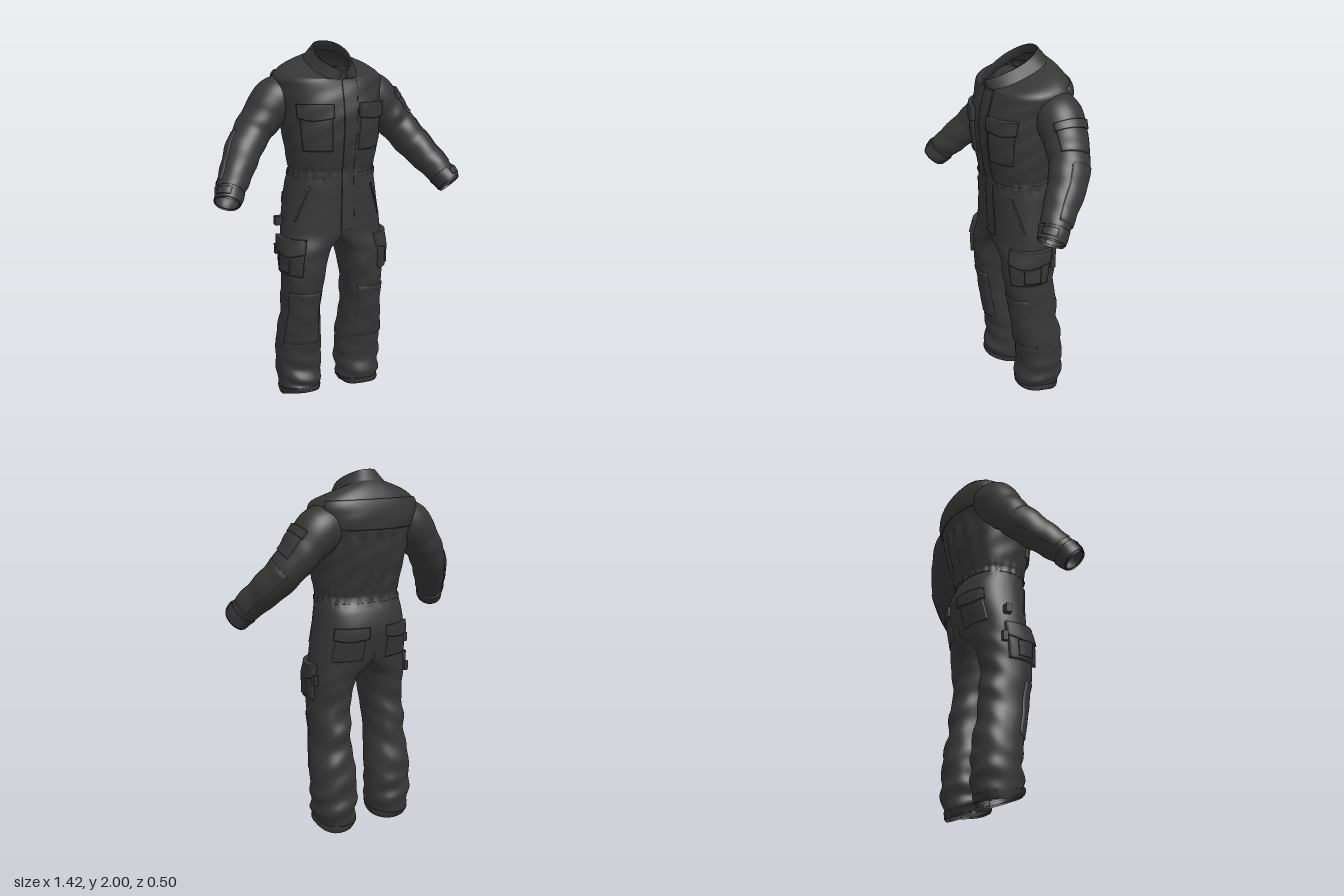
import * as THREE from 'three';

const { cos, sin, abs, sign, exp, PI, min, max } = Math;
const { smoothstep, clamp, degToRad } = THREE.MathUtils;
const V = (x, y, z) => new THREE.Vector3(x, y, z);
const pw = (c, e = 0.85) => sign(c) * abs(c) ** e;
const bell = (x, c, w) => exp(-(((x - c) / w) ** 2));

// Smooth interpolation of rows [parameter, value, value, ...]
function track(rows) {
  const n = rows[0].length - 1;
  const it = new THREE.CubicInterpolant(
    rows.map(r => r[0]), rows.flatMap(r => r.slice(1)), n, new Float32Array(n));
  const lo = rows[0][0], hi = rows[rows.length - 1][0];
  return v => [...it.evaluate(clamp(v, lo, hi))];
}

// Upper body rings: y, half width, front z, back z, z of widest point, forward tilt
const torsoRow = track([
  [0.85, 0.290, 0.165, -0.14, 0.01, 0], [1.0, 0.285, 0.172, -0.18, 0, 0],
  [1.15, 0.264, 0.175, -0.212, -0.01, 0], [1.25, 0.25, 0.178, -0.195, -0.01, 0],
  [1.32, 0.238, 0.178, -0.165, 0, 0], [1.42, 0.25, 0.195, -0.19, 0, 0],
  [1.55, 0.266, 0.212, -0.225, -0.02, 0], [1.68, 0.28, 0.21, -0.242, -0.05, 0],
  [1.77, 0.296, 0.188, -0.25, -0.07, 0.02], [1.83, 0.288, 0.176, -0.232, -0.07, 0.1],
  [1.865, 0.22, 0.176, -0.195, -0.05, 0.25], [1.89, 0.105, 0.18, -0.15, -0.03, 0.42]]);

function torso(a, y) {
  const [rx, zf, zb, zc, tilt] = torsoRow(y);
  const c = cos(a), s = sin(a), back = max(0, -s);
  const body = smoothstep(y, 1.15, 1.4) * (1 - smoothstep(y, 1.72, 1.85));
  const k = 1 + 0.018 * cos(26 * a) * bell(y, 1.325, 0.035) - 0.02 * bell(y, 1.335, 0.012)
    + body * 0.012 * sin(5 * a + 22 * y) * sin(31 * y + 2 * a);
  const x = rx * pw(c) * k;
  let z = zc + (s > 0 ? zf - zc : zc - zb) * pw(s) * k;
  // Back pleats hang below the yoke
  z += back * back * smoothstep(y, 1.34, 1.45) * (1 - smoothstep(y, 1.64, 1.7))
    * (0.009 * sin(x * 62 + 1.5 * sin(9 * y)) + 0.006);
  return V(x, y - tilt * z, z);
}

// Trouser leg rings: y, inner x, outer x, front z, back z
const legRow = track([
  [0, 0.075, 0.285, 0.092, -0.145], [0.1, 0.06, 0.302, 0.1, -0.172],
  [0.2, 0.055, 0.308, 0.085, -0.172], [0.35, 0.058, 0.308, 0.1, -0.166],
  [0.5, 0.075, 0.29, 0.124, -0.138], [0.6, 0.073, 0.287, 0.14, -0.138],
  [0.7, 0.063, 0.288, 0.158, -0.118], [0.85, 0.035, 0.288, 0.17, -0.135],
  [0.97, 0.012, 0.287, 0.174, -0.165]]);

// Each leg is a ring that grows into one half of the pelvis
const leg = side => (a, y) => {
  const [xi, xo, zf, zb] = legRow(y);
  const t = Math.atan2(sin(a), cos(a)), c = cos(t), s = sin(t), ph = side * 1.3;
  const low = 1 - smoothstep(y, 0.15, 0.4);
  const k = 1 + 0.02 * sin(38 * y + 2 * s + ph) * sin(3 * t + 9 * y + ph)
    + low * 0.045 * sin(58 * y + 1.6 * sin(t + ph)) * (0.6 + 0.4 * sin(2 * t + ph))
    + 0.03 * max(0, -s) * sin(44 * y + 2.5 * c + ph) * (1 - smoothstep(y, 0.65, 0.9));
  const p = V((xi + xo) / 2 + (xo - xi) / 2 * pw(c, 0.9) * k, y,
    (zf + zb) / 2 + (zf - zb) / 2 * pw(s, 0.9) * k);
  p.y += (0.22 * (p.z + 0.14) + 0.012 * sin(2 * t + ph) * (1 - abs(s))) * (1 - smoothstep(y, 0, 0.14));
  const w = smoothstep(y, 0.86, 1.0);
  if (w > 0) {
    const h = 2 * PI / 3, u = (a % (2 * PI) + 2 * PI) % (2 * PI);
    const q = abs(t) <= h + 1e-6 ? torso(t * 0.75, y)
      : torso(PI / 2, y).lerp(torso(-PI / 2, y), (u - h) / h);
    p.lerp(q, w);
  }
  p.x = max(p.x, 0) * side;
  return p;
};

// Sleeve: centre line with two radii (up-out and front-back)
const armLine = new THREE.CatmullRomCurve3([V(0.2, 1.745, -0.085), V(0.285, 1.695, -0.085),
  V(0.36, 1.615, -0.075), V(0.43, 1.53, -0.055), V(0.5, 1.435, 0), V(0.56, 1.35, 0.075),
  V(0.61, 1.28, 0.135), V(0.648, 1.213, 0.186)]);
const armRow = track([[0, 0.1, 0.11], [0.14, 0.125, 0.125], [0.29, 0.11, 0.117], [0.43, 0.1, 0.108],
  [0.57, 0.094, 0.1], [0.72, 0.084, 0.088], [0.86, 0.076, 0.078], [1, 0.064, 0.068]]);
const arm = side => (a, v) => {
  const c = armLine.getPoint(v), t = armLine.getTangent(v);
  const up = V(0, 0, 1).cross(t).normalize(), fr = t.clone().cross(up);
  const [ra, rb] = armRow(v), ph = side * 1.7;
  const k = 1 + smoothstep(v, 0.15, 0.35) * (0.025 * sin(40 * v + 2 * sin(a + ph))
    + 0.02 * sin(3 * a + 17 * v + ph) * sin(26 * v));
  c.addScaledVector(up, ra * cos(a) * k).addScaledVector(fr, rb * sin(a) * k);
  c.x *= side;
  return c;
};

export function createModel() {
  const group = new THREE.Group();
  const cloth = new THREE.MeshStandardMaterial({ color: 0x363636, side: THREE.DoubleSide });
  cloth.name = 'charcoal cloth';

  // Mesh over a grid of points; closed grids wrap around in i
  function sheet(name, nu, nv, fn, closed, skip = () => false) {
    const cols = closed ? nu : nu + 1, pos = [], idx = [];
    for (let j = 0; j <= nv; j++) for (let i = 0; i < cols; i++) pos.push(...fn(i, j).toArray());
    for (let j = 0; j < nv; j++) for (let i = 0; i < nu; i++) {
      if (skip(i, j)) continue;
      const i2 = (i + 1) % cols, a = j * cols + i, b = j * cols + i2;
      idx.push(a, a + cols, b, b, a + cols, b + cols);
    }
    const g = new THREE.BufferGeometry();
    g.setAttribute('position', new THREE.Float32BufferAttribute(pos, 3));
    g.setIndex(idx);
    g.computeVertexNormals();
    const m = new THREE.Mesh(g, cloth);
    m.name = name;
    group.add(m);
  }

  // Raised panel following a surface, angles in degrees; dip lowers the middle of its lower edge
  function patch(name, surf, a0, a1, v0, v1, h, dip = 0, n = 16) {
    const off = (a, v, d) => {
      const p = surf(a, v), e = 0.01;
      const nrm = surf(a + e, v).sub(surf(a - e, v)).cross(surf(a, v + e).sub(surf(a, v - e))).normalize();
      if (nrm.dot(p.clone().sub(surf(a + PI, v))) < 0) nrm.negate();
      return p.addScaledVector(nrm, d);
    };
    sheet(name, n, n, (i, j) => {
      const fu = clamp((i - 1) / (n - 2), 0, 1), fv = clamp((j - 1) / (n - 2), 0, 1);
      const edge = i === 0 || j === 0 || i === n || j === n;
      const v = v0 + (v1 - v0) * fv - dip * sin(PI * fu) * (1 - fv);
      return off(degToRad(a0 + (a1 - a0) * fu), v, edge ? -0.004 : h);
    });
  }

  // Upper body
  sheet('jacketBody', 96, 64, (i, j) => torso(i / 96 * 2 * PI, 1.3 + 0.59 * j / 64), true);
  patch('backYoke', torso, 200, 340, 1.7, 1.83, 0.008, 0, 28);
  patch('frontPlacket', torso, 79, 91, 1.0, 1.87, 0.006, 0, 40);
  patch('waistSeam', torso, -90, 270, 1.3, 1.322, 0.004, 0, 96);

  // Standing collar, open at the front: outer base, outer top, inner top, inner base
  sheet('collar', 60, 6, (i, j) => {
    const a = degToRad(97 + 346 * i / 60), s = sin(a), c = cos(a);
    const base = torso(a, 1.885);
    const narrow = 1 - 0.45 * max(0, s) ** 2;
    const zt = s > 0 ? 0.01 + 0.185 * s : 0.01 + 0.125 * s;
    const top = V(0.098 * pw(c) * narrow, 1.95 - 0.44 * zt, zt);
    const f = [0, 0.5, 0.95, 1, 0.95, 0.5, 0][j], p = base.lerp(top, f);
    if (j > 3) { p.x *= 0.86; p.z -= 0.012 * s; }
    return p;
  }, false);

  // Chest pockets with flaps
  for (const [name, a0, a1] of [['left', 38, 76], ['right', 102, 142]]) {
    patch(name + 'ChestPocket', torso, a0 + 1, a1 - 1, 1.45, 1.66, 0.013);
    patch(name + 'ChestFlap', torso, a0 - 1, a1 + 1, 1.625, 1.695, 0.022, 0.014);
  }

  for (const side of [1, -1]) {
    const n = side > 0 ? 'left' : 'right', L = leg(side), A = arm(side);

    // Trouser leg, with the hidden inner wall left out inside the pelvis
    sheet(n + 'TrouserLeg', 60, 120, (i, j) => L(i / 60 * 2 * PI, 1.305 * j / 120), true,
      (i, j) => i >= 20 && i < 40 && j > 94);
    patch(n + 'KneePanel', L, 28, 125, 0.35, 0.66, 0.006);
    patch(n + 'HemBand', L, -180, 180, 0.01, 0.045, 0.004, 0, 48);

    // Thigh cargo pocket, its flap and small pouch
    patch(n + 'CargoPocket', L, -14, 66, 0.765, 0.93, 0.018);
    patch(n + 'CargoFlap', L, -16, 68, 0.89, 0.965, 0.026, 0.02);
    patch(n + 'CargoPouch', L, 2, 34, 0.78, 0.87, 0.026);

    // Seat pocket with flap and slanted hip pocket edge
    patch(n + 'SeatPocket', L, -104, -50, 0.99, 1.13, 0.006);
    patch(n + 'SeatFlap', L, -108, -46, 1.115, 1.175, 0.015, 0.012);
    patch(n + 'HipPocketEdge', (a, y) => L(a + (y - 1.15) * 2.2, y), 48, 53, 1.06, 1.25, 0.005);

    // Small side tab above the hem of the cargo pocket
    const tab = new THREE.Mesh(new THREE.BoxGeometry(0.024, 0.055, 0.03), cloth);
    tab.name = n + 'SideTab';
    tab.position.set(side * 0.3, 0.88, -0.05);
    group.add(tab);

    // Sleeve, elbow panel, cuff and armhole seam
    sheet(n + 'Sleeve', 40, 72, (i, j) => A(i / 40 * 2 * PI, j / 72), true);
    patch(n + 'ElbowPanel', A, -75, 15, 0.48, 0.84, 0.005);
    patch(n + 'Cuff', A, -180, 180, 0.88, 0.985, 0.005, 0, 36);
    patch(n + 'CuffTab', A, 10, 70, 0.9, 0.96, 0.01);
  }

  // Upper arm pocket on the left sleeve, tool loop on the right hip
  patch('sleevePocket', arm(1), -40, 45, 0.25, 0.42, 0.01);
  patch('sleevePocketFlap', arm(1), -43, 48, 0.22, 0.28, 0.015);
  const loop = new THREE.Mesh(new THREE.BoxGeometry(0.04, 0.05, 0.035), cloth);
  loop.name = 'toolLoop';
  loop.position.set(-0.297, 1.045, -0.03);
  group.add(loop);

  return group;
}
